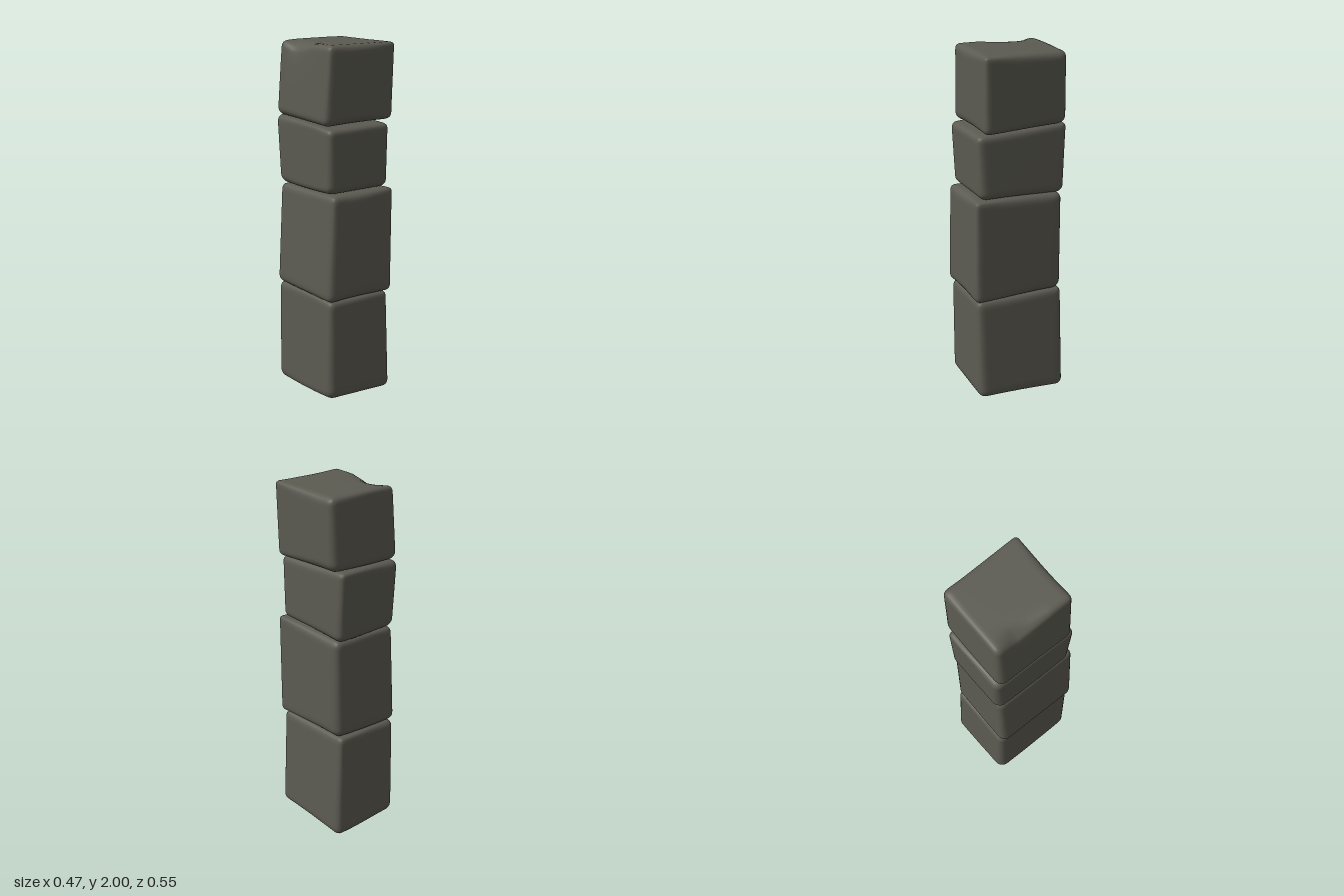
import * as THREE from 'three';
import { mergeVertices } from 'three/addons/utils/BufferGeometryUtils.js';

const { lerp, clamp } = THREE.MathUtils;

// Worn stone: a box with uneven rounded edges, warped between a bottom and a top quad.
// Each quad is { x: [left edge, right edge], z: [back, front], y, tiltX, tiltZ }.
function stoneGeometry(bottom, top, seed, chip) {
  const n = 18;
  let g = new THREE.BoxGeometry(2, 2, 2, n, n, n);
  g.deleteAttribute('uv');
  g.deleteAttribute('normal');
  g = mergeVertices(g, 1e-4);
  const pos = g.attributes.position;
  const half = new THREE.Vector3(0.21, (top.y - bottom.y) / 2, 0.25);
  const p = new THREE.Vector3(), inner = new THREE.Vector3();

  for (let i = 0; i < pos.count; i++) {
    p.fromBufferAttribute(pos, i);
    // Crowd the grid lines towards the edges
    for (const a of ['x', 'y', 'z']) p[a] = Math.sign(p[a]) * Math.pow(Math.abs(p[a]), 0.45);
    const r = 0.038 + 0.012 * Math.sin(2.3 * p.x + seed) * Math.cos(2.1 * p.z - seed)
      - 0.006 * p.y;
    p.multiply(half);
    for (const a of ['x', 'y', 'z']) inner[a] = clamp(p[a], r - half[a], half[a] - r);
    p.sub(inner);
    if (p.lengthSq() > 0) p.setLength(r);
    p.add(inner).divide(half);

    const u = (p.x + 1) / 2, v = (p.y + 1) / 2, w = (p.z + 1) / 2;
    const level = (q) => q.y + q.tiltX * p.x + q.tiltZ * p.z;
    let x = lerp(lerp(bottom.x[0], top.x[0], v), lerp(bottom.x[1], top.x[1], v), u);
    let y = lerp(level(bottom), level(top), v);
    const z = lerp(lerp(bottom.z[0], top.z[0], v), lerp(bottom.z[1], top.z[1], v), w);
    // Dent in the upper edge on the -x side
    const dent = chip * Math.exp(-(((z + 0.09) / 0.09) ** 2) - ((x + 0.2) / 0.06) ** 2) * v ** 6;
    x += dent * 0.5;
    y -= dent;
    pos.setXYZ(i, x, y, z);
  }
  g.computeVertexNormals();
  return g;
}

export function createModel() {
  const stone = new THREE.MeshStandardMaterial({ color: 0x5c5b52 });
  stone.name = 'dark stone';
  const group = new THREE.Group();
  group.name = 'stonePillar';

  const blocks = [
    ['baseStone',
      { x: [-0.225, 0.21], z: [-0.268, 0.26], y: 0.015, tiltX: -0.01, tiltZ: 0.01 },
      { x: [-0.22, 0.18], z: [-0.258, 0.258], y: 0.61, tiltX: 0, tiltZ: -0.004 }, 0.4, 0],
    ['lowerStone',
      { x: [-0.238, 0.198], z: [-0.252, 0.276], y: 0.61, tiltX: 0.002, tiltZ: -0.004 },
      { x: [-0.205, 0.2], z: [-0.246, 0.27], y: 1.198, tiltX: 0.002, tiltZ: 0.004 }, 2.1, 0],
    ['upperStone',
      { x: [-0.21, 0.193], z: [-0.26, 0.24], y: 1.2, tiltX: 0, tiltZ: 0.006 },
      { x: [-0.218, 0.186], z: [-0.274, 0.252], y: 1.575, tiltX: 0.002, tiltZ: -0.014 }, 3.6, 0],
    ['capStone',
      { x: [-0.228, 0.23], z: [-0.257, 0.228], y: 1.582, tiltX: 0.004, tiltZ: -0.008 },
      { x: [-0.197, 0.237], z: [-0.246, 0.23], y: 1.998, tiltX: -0.001, tiltZ: 0.001 }, 5.2, 0.04],
  ];
  for (const [name, bottom, top, seed, chip] of blocks) {
    const mesh = new THREE.Mesh(stoneGeometry(bottom, top, seed, chip), stone);
    mesh.name = name;
    group.add(mesh);
  }
  return group;
}
